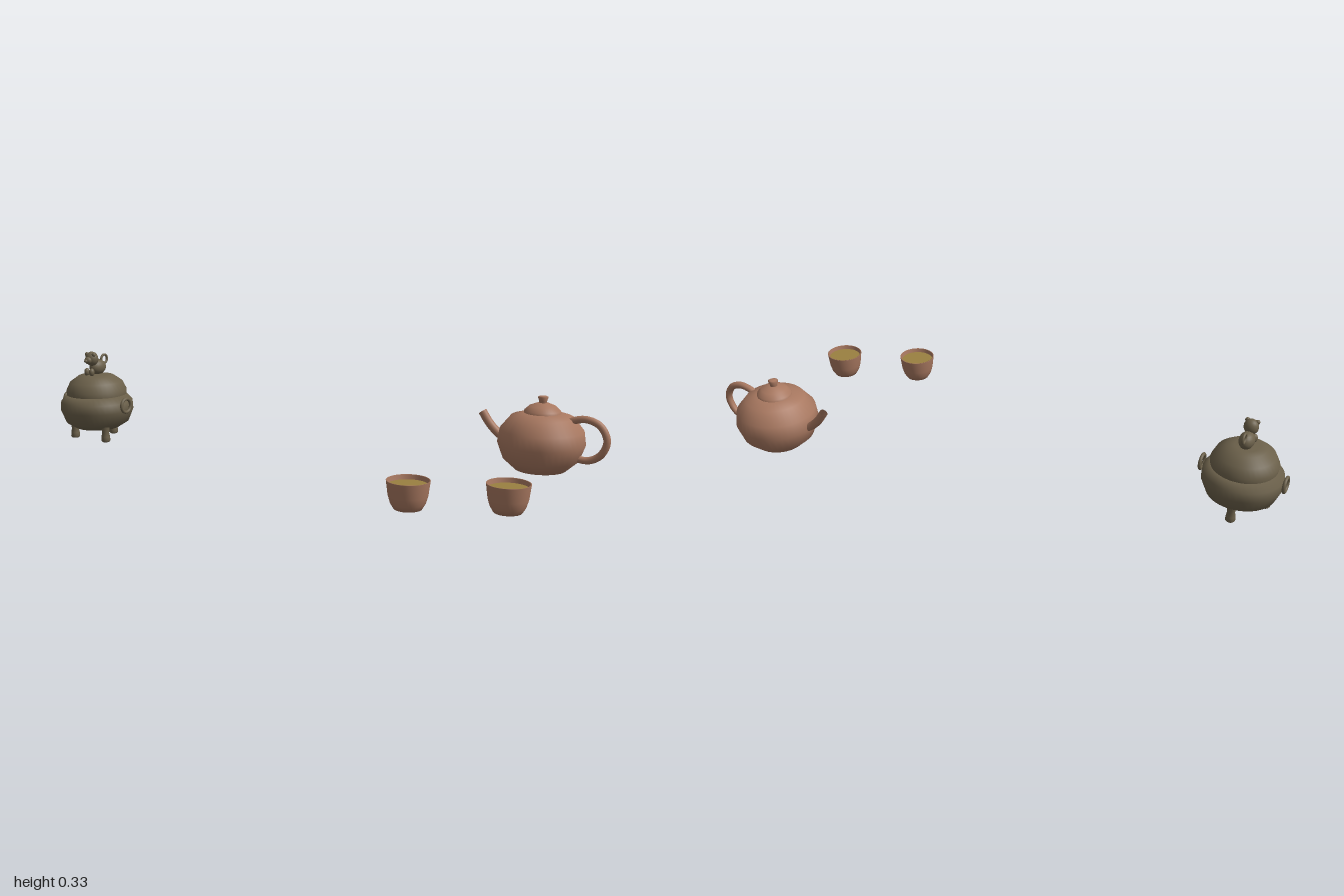
import * as THREE from 'three';

const clay = new THREE.MeshStandardMaterial({ color: 0xa87860, side: THREE.DoubleSide });
const bronze = new THREE.MeshStandardMaterial({ color: 0x6b604a });
const teaColor = new THREE.MeshStandardMaterial({ color: 0x9a8040 });

function add(parent, name, geometry, material, x = 0, y = 0, z = 0) {
  const mesh = new THREE.Mesh(geometry, material);
  mesh.name = name;
  mesh.position.set(x, y, z);
  parent.add(mesh);
  return mesh;
}

// Turned shape; profile runs from bottom to top as [radius, height]
const turned = (profile, sides = 40) =>
  new THREE.LatheGeometry(profile.map(([r, y]) => new THREE.Vector2(r, y)), sides);

const tube = (points, radius) => new THREE.TubeGeometry(
  new THREE.CatmullRomCurve3(points.map(([x, y]) => new THREE.Vector3(x, y, 0))), 32, radius, 12);

function ball(parent, name, x, y, z, rx, ry, rz) {
  const mesh = add(parent, name, new THREE.SphereGeometry(1, 20, 14), bronze, x, y, z);
  mesh.scale.set(rx, ry, rz);
  return mesh;
}

function createTeapot() {
  const pot = new THREE.Group();
  pot.name = 'teapot';
  add(pot, 'potBody', turned([[0, 0], [0.087, 0], [0.128, 0.037], [0.148, 0.091],
    [0.141, 0.138], [0.105, 0.183], [0.06, 0.197], [0, 0.198]]), clay);
  add(pot, 'potLid', turned([[0.063, 0.193], [0.061, 0.204], [0.045, 0.219],
    [0.018, 0.23], [0, 0.231]]), clay);
  add(pot, 'lidKnob', turned([[0.013, 0.226], [0.013, 0.235], [0.018, 0.25],
    [0.012, 0.253], [0, 0.254]], 24), clay);
  add(pot, 'spout', tube([[-0.1, 0.08], [-0.145, 0.1], [-0.185, 0.135], [-0.216, 0.178]], 0.015), clay);
  add(pot, 'handle', tube([[0.08, 0.165], [0.115, 0.182], [0.155, 0.188], [0.2, 0.17],
    [0.224, 0.122], [0.205, 0.073], [0.165, 0.05], [0.115, 0.052]], 0.0125), clay);
  return pot;
}

function createCup() {
  const cup = new THREE.Group();
  cup.name = 'cup';
  add(cup, 'cupWall', turned([[0, 0], [0.043, 0], [0.054, 0.018], [0.061, 0.042], [0.067, 0.088],
    [0.066, 0.089], [0.063, 0.088], [0.057, 0.045], [0.045, 0.014], [0, 0.01]]), clay);
  const tea = add(cup, 'tea', new THREE.CircleGeometry(0.061, 40), teaColor, 0, 0.074, 0);
  tea.rotation.x = -Math.PI / 2;
  return cup;
}

// Small seated animal that crowns the burner lid
function createFigure() {
  const figure = new THREE.Group();
  figure.name = 'lidFigure';
  ball(figure, 'animalBody', 0, 0.272, -0.011, 0.026, 0.029, 0.036);
  ball(figure, 'head', 0, 0.307, 0.02, 0.025, 0.027, 0.023);
  ball(figure, 'muzzle', 0, 0.303, 0.04, 0.015, 0.014, 0.013);
  ball(figure, 'nose', 0, 0.302, 0.054, 0.007, 0.006, 0.006);
  for (const side of [-1, 1]) {
    ball(figure, 'ear', side * 0.017, 0.324, 0.028, 0.008, 0.008, 0.007);
    ball(figure, 'frontPaw', side * 0.012, 0.258, 0.036, 0.01, 0.015, 0.011);
  }
  const tail = add(figure, 'tail', new THREE.TorusGeometry(0.016, 0.0045, 10, 28), bronze, 0, 0.298, -0.048);
  tail.rotation.y = Math.PI / 2;
  return figure;
}

function createBurner() {
  const burner = new THREE.Group();
  burner.name = 'incenseBurner';
  add(burner, 'bowl', turned([[0, 0.043], [0.08, 0.043], [0.117, 0.066], [0.136, 0.112],
    [0.134, 0.145], [0.112, 0.17], [0, 0.171]]), bronze);
  add(burner, 'lid', turned([[0.111, 0.165], [0.113, 0.187], [0.098, 0.218],
    [0.066, 0.241], [0.04, 0.246], [0, 0.247]]), bronze);
  // Three feet, one at the back
  const foot = turned([[0, 0], [0.013, 0], [0.017, 0.005], [0.016, 0.02], [0.013, 0.035], [0.017, 0.06]], 20);
  for (let i = 0; i < 3; i++) {
    const a = Math.PI + i * Math.PI * 2 / 3;
    add(burner, 'foot', foot, bronze, Math.sin(a) * 0.088, 0, Math.cos(a) * 0.088);
  }
  // Ring handles on both sides
  for (const side of [-1, 1]) {
    const ring = add(burner, 'ringHandle', new THREE.TorusGeometry(0.025, 0.006, 12, 32), bronze, side * 0.143, 0.138, 0);
    ring.rotation.y = Math.PI / 2;
  }
  burner.add(createFigure());
  return burner;
}

export function createModel() {
  const model = new THREE.Group();
  model.name = 'teaSet';
  const place = (part, x, z) => {
    part.position.set(x, 0, z);
    model.add(part);
  };
  place(createBurner(), -0.851, 0.13);
  place(createTeapot(), 0.762, -0.289);
  place(createCup(), 0.583, 0.369);
  place(createCup(), 0.853, 0.249);
  return model;
}
